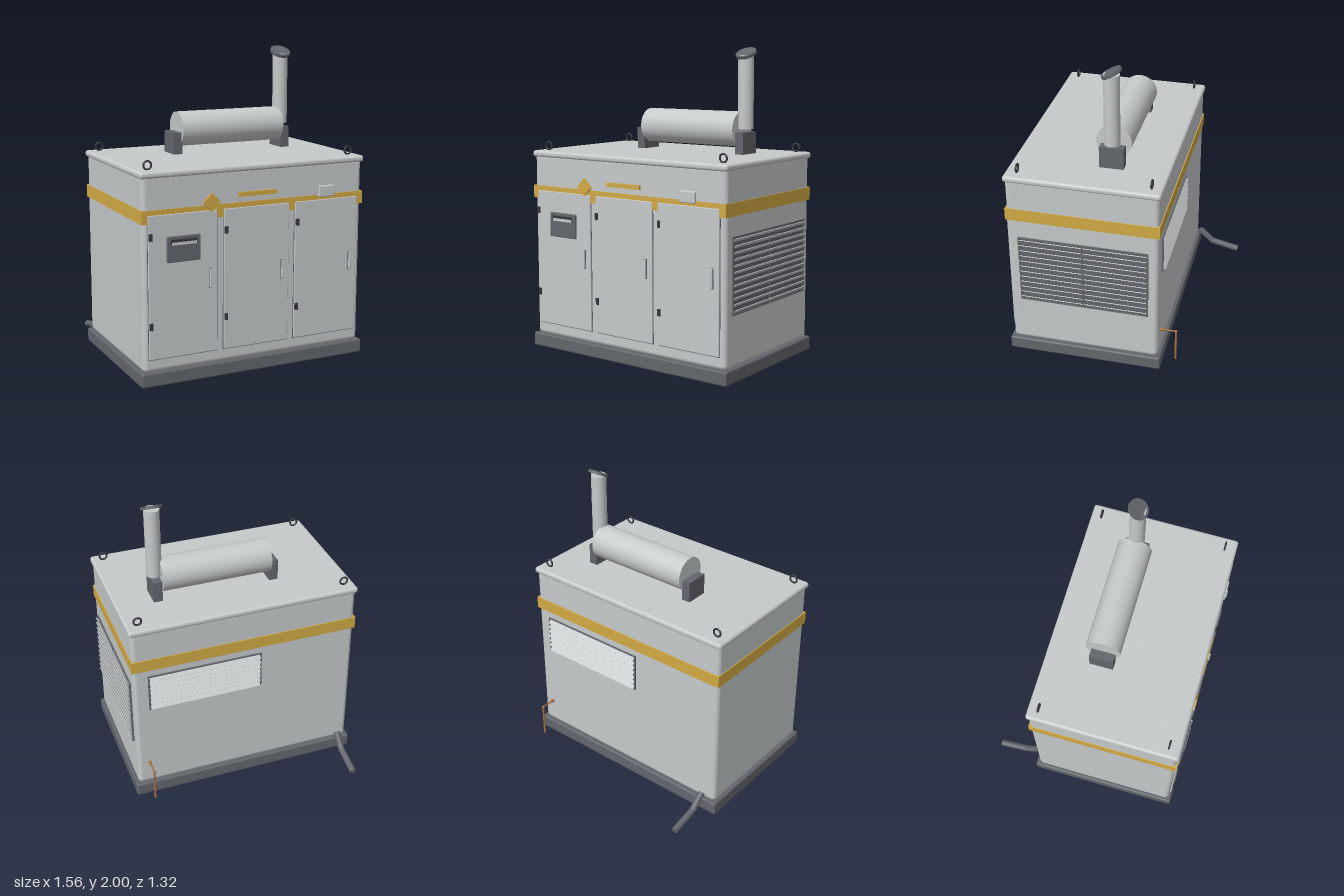
import * as THREE from 'three';
import { RoundedBoxGeometry } from 'three/addons/geometries/RoundedBoxGeometry.js';

const paint = (name, color) => {
  const m = new THREE.MeshStandardMaterial({ color });
  m.name = name;
  return m;
};

export function createModel() {
  const light = paint('light grey', 0xc6cacb);
  const dark = paint('dark grey', 0x62666c);
  const black = paint('black', 0x35383c);
  const yellow = paint('yellow', 0xd2aa45);
  const copper = paint('copper', 0xa8703f);

  const model = new THREE.Group();
  model.name = 'generator';

  const add = (name, geo, mat, x = 0, y = 0, z = 0, parent = model) => {
    const m = new THREE.Mesh(geo, mat);
    m.name = name;
    m.position.set(x, y, z);
    parent.add(m);
    return m;
  };
  const box = (w, h, d) => new THREE.BoxGeometry(w, h, d);
  const round = (w, h, d, r) => new RoundedBoxGeometry(w, h, d, 4, r);
  const cyl = (r1, r2, h, n = 32) => new THREE.CylinderGeometry(r1, r2, h, n);
  const tube = (pts, r) => {
    const path = new THREE.CurvePath();
    const v = pts.map((p) => new THREE.Vector3(...p));
    for (let i = 1; i < v.length; i++) path.add(new THREE.LineCurve3(v[i - 1], v[i]));
    return path;
  };
  // straight round bar between two points
  const bar = (name, a, b, r1, r2, mat) => {
    const p = new THREE.Vector3(...a), q = new THREE.Vector3(...b);
    const dir = q.clone().sub(p);
    const m = add(name, cyl(r2, r1, dir.length(), 20), mat);
    m.position.copy(p).add(q).multiplyScalar(0.5);
    m.quaternion.setFromUnitVectors(new THREE.Vector3(0, 1, 0), dir.normalize());
    return m;
  };

  const cz = 0.15; // centre depth of the cabinet

  // Base, cabinet, roof and trim band
  add('base', round(1.56, 0.09, 1.01, 0.012), dark, 0, 0.055, cz);
  for (const sx of [-1, 1]) for (const sz of [-1, 1])
    add('foot', cyl(0.012, 0.012, 0.02, 16), black, sx * 0.69, 0.01, cz + sz * 0.42);
  add('cabinet', round(1.52, 1.22, 0.97, 0.03), light, 0, 0.705, cz);
  add('roof', round(1.544, 0.042, 0.99, 0.018), light, 0, 1.31, cz);
  add('trimBand', box(1.532, 0.082, 0.982), yellow, 0, 1.06, cz);

  // Front doors with hinges and handles
  [-0.5, -0.002, 0.495].forEach((x, i) => {
    const door = new THREE.Group();
    door.name = 'door' + (i + 1);
    door.position.x = x;
    model.add(door);
    add('doorPanel', round(0.452, 0.89, 0.016, 0.004), light, 0, 0.625, 0.638, door);
    add('doorGap', box(0.46, 0.84, 0.004), dark, 0, 0.595, 0.634, door);
    for (const y of [0.39, 0.94]) {
      add('hinge', box(0.018, 0.042, 0.014), black, -0.215, y, 0.648, door);
      add('hingePin', cyl(0.006, 0.006, 0.044, 12), black, -0.208, y, 0.653, door);
    }
    add('handle', round(0.014, 0.12, 0.014, 0.006), light, 0.178, 0.65, 0.654, door);
    add('handlePlate', box(0.02, 0.125, 0.004), dark, 0.178, 0.65, 0.647, door);
  });

  // Control panel and front plates
  add('controlPanel', round(0.22, 0.16, 0.018, 0.006), dark, -0.5, 0.855, 0.65);
  add('controlPanelHood', box(0.17, 0.035, 0.006), black, -0.5, 0.898, 0.658);
  add('controlPanelSlot', box(0.16, 0.018, 0.008), light, -0.5, 0.89, 0.659);
  const diamond = add('warningPlate', box(0.082, 0.082, 0.012), yellow, -0.315, 1.12, 0.648);
  diamond.rotation.z = Math.PI / 4;
  add('namePlate', box(0.262, 0.028, 0.016), yellow, 0, 1.15, 0.642);
  add('lampBox', round(0.116, 0.074, 0.02, 0.008), light, 0.493, 1.123, 0.645);

  // Slatted vents, built facing +z and then turned to their wall
  const vent = (name, w, h, n, tilt, columns) => {
    const g = new THREE.Group();
    g.name = name;
    add('ventBack', box(w, h, 0.006), dark, 0, 0, 0.001, g);
    const cw = w / columns;
    for (let c = 0; c < columns; c++) {
      const x = -w / 2 + cw * (c + 0.5);
      for (let i = 0; i < n; i++) {
        const y = -h / 2 + (h / n) * (i + 0.5);
        add('slat', box(cw - 0.012, 0.004, 0.036), light, x, y, 0.01, g).rotation.x = tilt;
      }
    }
    for (let c = 0; c <= columns; c++)
      add('ventUpright', box(0.008, h, 0.012), dark, -w / 2 + cw * c, 0, 0.005, g);
    for (const s of [-1, 1])
      add('ventRail', box(w + 0.008, 0.006, 0.012), dark, 0, s * h / 2, 0.005, g);
    model.add(g);
    return g;
  };
  const sideVent = vent('sideVent', 0.83, 0.47, 12, -Math.PI / 4, 2);
  sideVent.position.set(0.76, 0.66, 0.147);
  sideVent.rotation.y = Math.PI / 2;
  const backVent = vent('backVent', 0.76, 0.255, 7, Math.PI / 4, 1);
  backVent.position.set(0.28, 0.843, -0.335);
  backVent.rotation.y = Math.PI;

  // Lifting eyes on the roof corners
  for (const x of [-0.695, 0.695]) for (const z of [-0.275, 0.567])
    add('liftingEye', new THREE.TorusGeometry(0.025, 0.006, 10, 28), black, x, 1.36, z);

  // Silencer, its supports and the exhaust stack
  add('silencer', cyl(0.112, 0.112, 0.73, 48), light, 0.1, 1.487, 0.015).rotation.z = Math.PI / 2;
  for (const x of [-0.29, 0.495])
    add('silencerSupport', box(0.06, 0.15, 0.155), dark, x, 1.395, 0.018);
  add('exhaustStack', cyl(0.05, 0.05, 0.465), light, 0.495, 1.722, 0.018);
  add('rainCap', cyl(0.067, 0.067, 0.018), dark, 0.495, 1.965, 0.018).rotation.x = 0.48;

  // Drain pipe at the back
  const elbow = [-0.68, 0.072, -0.46];
  bar('drainPipeUpper', [-0.68, 0.16, -0.362], elbow, 0.022, 0.022, dark);
  bar('drainPipeLower', elbow, [-0.68, 0.03, -0.65], 0.022, 0.022, dark);
  add('drainPipeElbow', new THREE.SphereGeometry(0.022, 20, 14), dark, ...elbow);

  // Copper earthing rod with its arm
  bar('earthRod', [0.68, 0.04, -0.44], [0.68, 0.27, -0.44], 0.007, 0.007, copper);
  bar('earthArm', [0.68, 0.265, -0.335], [0.68, 0.265, -0.44], 0.005, 0.005, copper);
  bar('earthLug', [0.68, 0.265, -0.335], [0.68, 0.265, -0.38], 0.012, 0.004, copper);
  add('earthClamp', new THREE.SphereGeometry(0.01, 16, 12), copper, 0.68, 0.265, -0.44);

  return model;
}
